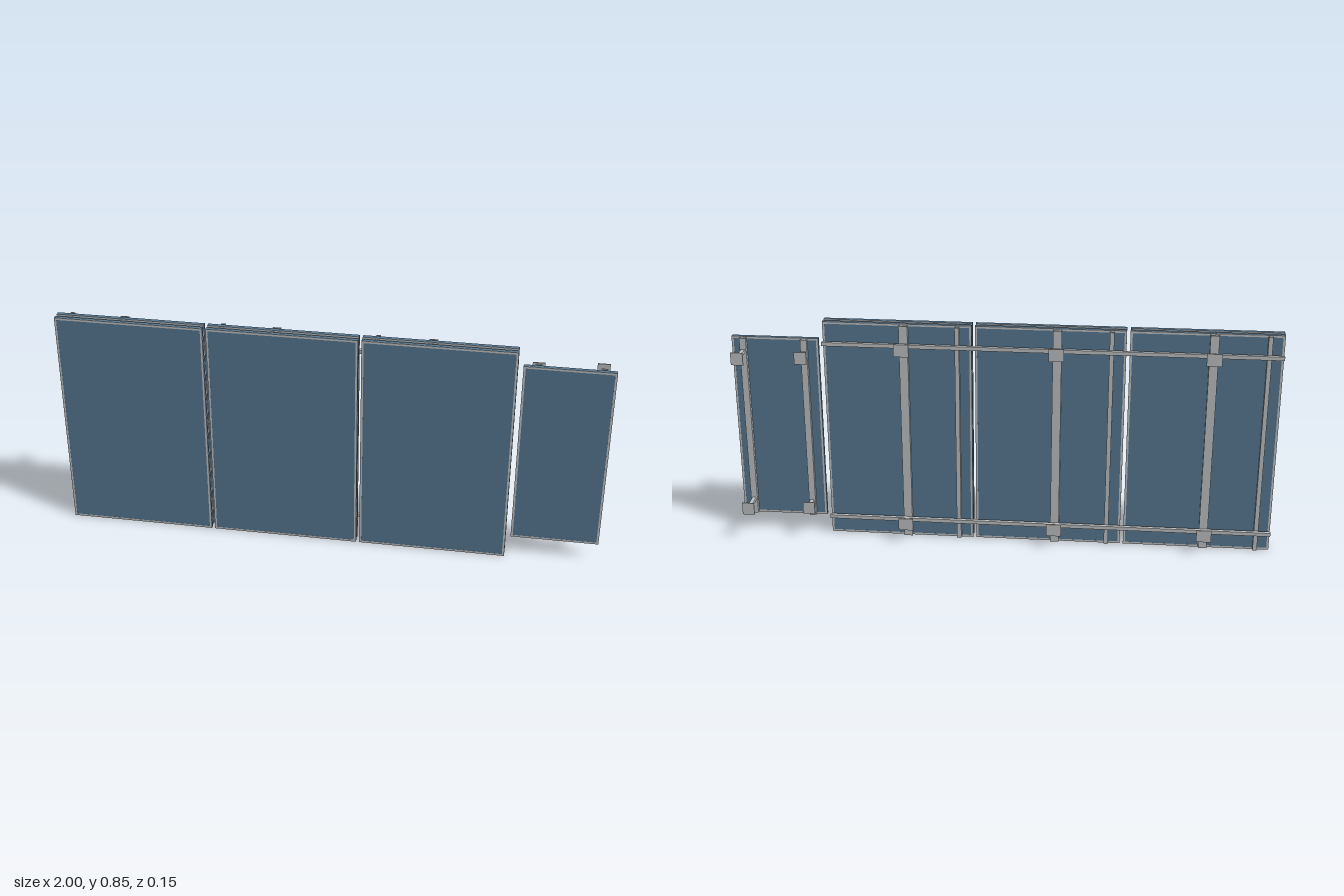
import * as THREE from 'three';

const blue = new THREE.MeshStandardMaterial({ color: 0x587a95 });
blue.name = 'panelBlue';
const grey = new THREE.MeshStandardMaterial({ color: 0xc0c3c5 });
grey.name = 'metalGrey';

function add(parent, name, geometry, material, x, y, z) {
  const mesh = new THREE.Mesh(geometry, material);
  mesh.name = name;
  mesh.position.set(x, y, z);
  parent.add(mesh);
  return mesh;
}

const box = (parent, name, mat, w, h, d, x, y, z) =>
  add(parent, name, new THREE.BoxGeometry(w, h, d), mat, x, y, z);

function rectPath(path, w, h) {
  path.moveTo(-w / 2, -h / 2);
  path.lineTo(w / 2, -h / 2);
  path.lineTo(w / 2, h / 2);
  path.lineTo(-w / 2, h / 2);
  path.closePath();
  return path;
}

// Rectangular ring extruded along z: used for rims and hollow bars
function ring(w, h, wall, length) {
  const shape = rectPath(new THREE.Shape(), w, h);
  shape.holes.push(rectPath(new THREE.Path(), w - 2 * wall, h - 2 * wall));
  const geo = new THREE.ExtrudeGeometry(shape, { depth: length, bevelEnabled: false });
  return geo.translate(0, 0, -length / 2);
}

// Blue panel with a thin grey rim on both faces
function panel(parent, name, x0, x1, y0, y1, z) {
  const g = new THREE.Group();
  g.name = name;
  const w = x1 - x0, h = y1 - y0, x = (x0 + x1) / 2, y = (y0 + y1) / 2;
  box(g, 'sheet', blue, w, h, 0.015, x, y, z);
  for (const s of [-1, 1]) add(g, 'rim', ring(w, h, 0.008, 0.001), grey, x, y, z + s * 0.0075);
  parent.add(g);
}

// Hollow upright
function post(parent, name, w, y0, y1, x, z) {
  const geo = ring(w, 0.015, 0.002, y1 - y0).rotateX(Math.PI / 2);
  add(parent, name, geo, grey, x, (y0 + y1) / 2, z);
}

// Wall bracket: a stem reaching back to a square plate
function bracket(parent, x, y, zStart, zPlate, width) {
  const g = new THREE.Group();
  g.name = 'wallBracket';
  box(g, 'stem', grey, 0.014, 0.012, zStart - zPlate, x, y, (zStart + zPlate) / 2);
  box(g, 'plate', grey, width, 0.047, 0.005, x, y, zPlate);
  parent.add(g);
}

export function createModel() {
  const model = new THREE.Group();
  model.name = 'panelWall';
  const height = 0.848, backZ = 0.0375, frontZ = 0.068;

  // Three double-layer bays
  for (let i = 0; i < 3; i++) {
    const bay = new THREE.Group();
    bay.name = 'bay';
    const x0 = -1 + i * 0.5575, x1 = x0 + 0.545;
    panel(bay, 'frontPanel', x0, x1, 0, height, frontZ);
    panel(bay, 'rearPanel', x0, x1, 0, height, backZ);
    for (const z of [0.0525, 0.0215]) {
      post(bay, 'narrowPost', 0.016, 0.003, height - 0.003, x0 + 0.052, z);
      post(bay, 'widePost', 0.032, 0.003, height - 0.003, x0 + 0.247, z);
    }
    for (const y of [0.077, 0.771]) bracket(bay, x0 + 0.247, y, 0, -0.034 - i * 0.0035, 0.055);
    model.add(bay);
  }

  // Horizontal rails behind the bays
  for (const y of [0.077, 0.772]) {
    const geo = ring(0.014, 0.014, 0.002, 1.66).rotateY(Math.PI / 2);
    add(model, 'rail', geo, grey, -0.17, y, 0.006);
  }

  // Smaller single-layer side bay
  const side = new THREE.Group();
  side.name = 'sideBay';
  panel(side, 'sidePanel', 0.678, 1, 0.07, 0.782, backZ);
  for (const [x, zPlate] of [[0.73, -0.045], [0.956, -0.073]]) {
    post(side, 'sidePost', 0.024, 0.072, 0.78, x, 0.0215);
    for (const y of [0.131, 0.731]) bracket(side, x, y, 0.015, zPlate, 0.045);
  }
  model.add(side);

  return model;
}
